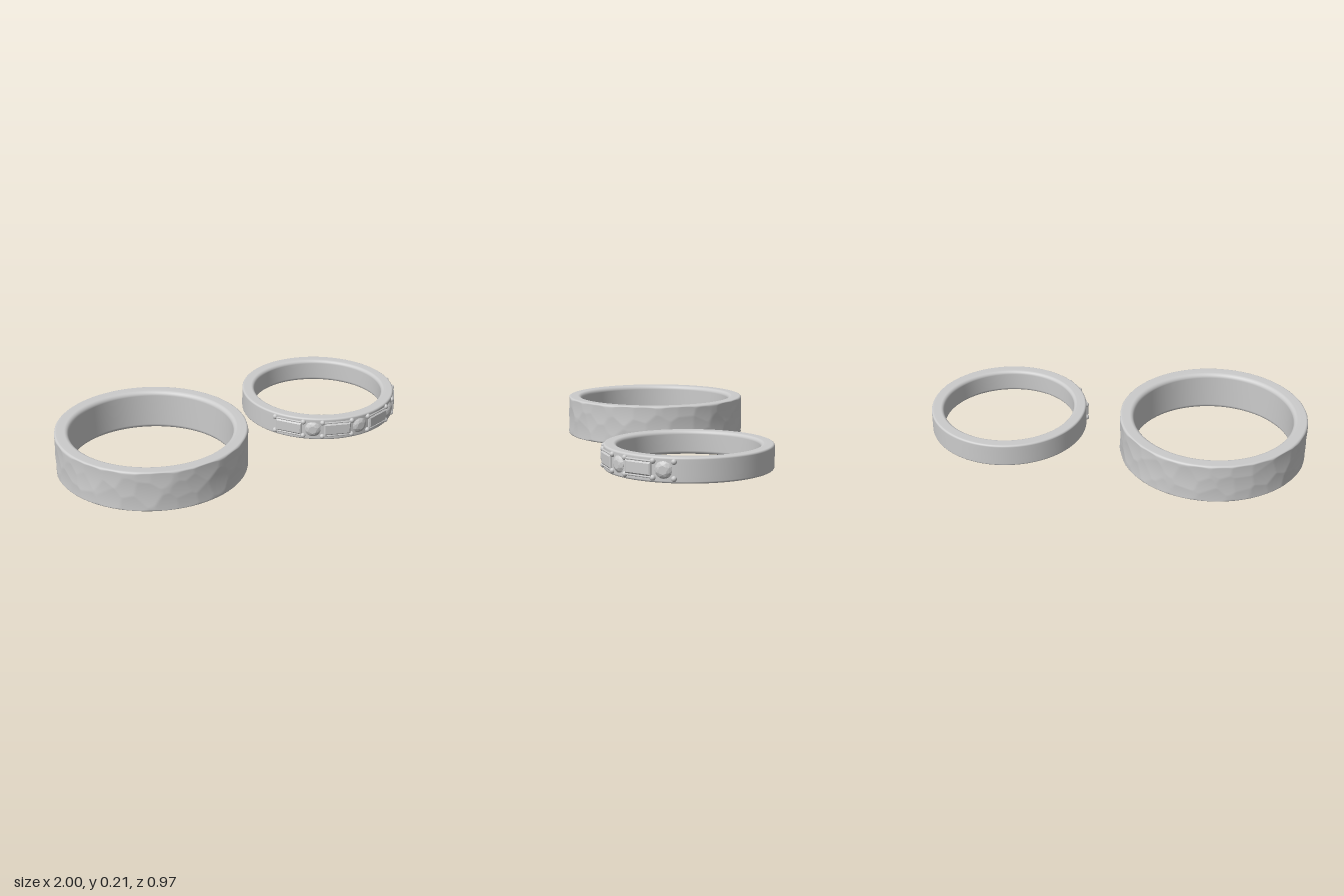
import * as THREE from 'three';
import { mergeVertices } from 'three/addons/utils/BufferGeometryUtils.js';
import { ConvexGeometry } from 'three/addons/geometries/ConvexGeometry.js';

const material = new THREE.MeshStandardMaterial({ color: 0xcccccc, roughness: 0.5 });
const deg = THREE.MathUtils.degToRad;

function seeded(seed) {
  return () => {
    seed = (seed * 16807) % 2147483647;
    return seed / 2147483647;
  };
}

function addMesh(parent, name, geometry) {
  const mesh = new THREE.Mesh(geometry, material);
  mesh.name = name;
  parent.add(mesh);
  return mesh;
}

// Closed rounded-rectangle section, swept around y
function bandGeometry(inner, outer, height, outerFillet, innerFillet, rows, segments) {
  const points = [];
  for (let i = 0; i <= rows; i++) {
    points.push(new THREE.Vector2(outer, THREE.MathUtils.lerp(outerFillet, height - outerFillet, i / rows)));
  }
  const corner = (x, y, radius, start) => {
    for (let i = 0; i <= 6; i++) {
      const a = start + (i / 6) * Math.PI / 2;
      points.push(new THREE.Vector2(x + radius * Math.cos(a), y + radius * Math.sin(a)));
    }
  };
  corner(outer - outerFillet, height - outerFillet, outerFillet, 0);
  corner(inner + innerFillet, height - innerFillet, innerFillet, Math.PI / 2);
  corner(inner + innerFillet, innerFillet, innerFillet, Math.PI);
  corner(outer - outerFillet, outerFillet, outerFillet, Math.PI * 1.5);
  return weld(new THREE.LatheGeometry(points, segments));
}

function weld(geometry) {
  geometry.deleteAttribute('uv');
  geometry.deleteAttribute('normal');
  const welded = mergeVertices(geometry, 1e-5);
  welded.computeVertexNormals();
  return welded;
}

// Shallow overlapping hammer strikes pressed into the outer wall
function hammer(geometry, radius, height) {
  const random = seeded(4721);
  const strikes = [];
  const columns = 25, rows = 3;
  for (let c = 0; c < columns; c++) {
    for (let r = 0; r < rows; r++) {
      strikes.push({
        angle: ((c + (r % 2) * 0.5 + (random() - 0.5) * 0.8) / columns) * Math.PI * 2,
        y: ((r + 0.5 + (random() - 0.5) * 0.7) / rows) * height,
        depth: 0.002 + random() * 0.003,
      });
    }
  }
  const p = geometry.attributes.position;
  for (let i = 0; i < p.count; i++) {
    const x = p.getX(i), y = p.getY(i), z = p.getZ(i);
    const r = Math.hypot(x, z);
    if (r < radius - 0.02) continue;
    const angle = Math.atan2(x, z);
    let limit = r;
    for (const s of strikes) {
      const d = angle - s.angle;
      const arc = Math.atan2(Math.sin(d), Math.cos(d)) * radius;
      limit = Math.min(limit, radius - s.depth + 0.8 * (arc * arc + (y - s.y) ** 2));
    }
    p.setXYZ(i, x * limit / r, y, z * limit / r);
  }
  geometry.computeVertexNormals();
  return geometry;
}

// Brilliant-cut stone facing +z
function roundStoneGeometry(radius) {
  const points = [new THREE.Vector3(0, 0, -0.03)];
  const ring = (count, r, z, offset) => {
    for (let i = 0; i < count; i++) {
      const a = ((i + offset) / count) * Math.PI * 2;
      points.push(new THREE.Vector3(r * Math.cos(a), r * Math.sin(a), z));
    }
  };
  ring(8, radius * 0.5, 0.013, 0);
  ring(8, radius * 0.76, 0.0085, 0.5);
  ring(16, radius, 0, 0);
  ring(16, radius, -0.003, 0);
  return new ConvexGeometry(points);
}

// Long step-cut stone facing +z
function barStoneGeometry(width, height) {
  const points = [];
  for (const [inset, z] of [[0, -0.03], [0, 0], [0.007, 0.006]]) {
    for (const sx of [-1, 1]) {
      for (const sy of [-1, 1]) {
        points.push(new THREE.Vector3(sx * (width / 2 - inset), sy * (height / 2 - inset), z));
      }
    }
  }
  return new ConvexGeometry(points);
}

export function createModel() {
  const model = new THREE.Group();
  model.name = 'ringPair';

  // Wide hammered ring
  const wide = addMesh(model, 'hammeredBand',
    hammer(bandGeometry(0.41, 0.484, 0.21, 0.012, 0.022, 36, 400), 0.484, 0.21));
  wide.position.set(-0.518, 0, 0);

  // Narrow ring with stones along the front
  const narrow = new THREE.Group();
  narrow.name = 'stoneRing';
  narrow.position.set(0.582, 0.003, 0.052);
  model.add(narrow);
  addMesh(narrow, 'narrowBand', bandGeometry(0.346, 0.412, 0.121, 0.01, 0.018, 4, 160));

  const place = (mesh, degrees, radius, y) => {
    const a = deg(degrees);
    mesh.position.set(Math.sin(a) * radius, y, Math.cos(a) * radius);
    mesh.rotation.y = a;
  };
  const middle = 0.061;

  const roundStone = roundStoneGeometry(0.042);
  const barStone = barStoneGeometry(0.145, 0.064);
  const rail = new THREE.CapsuleGeometry(0.005, 0.135, 4, 8).rotateZ(Math.PI / 2);
  const bead = new THREE.SphereGeometry(0.0135, 16, 12);
  const stem = new THREE.CylinderGeometry(0.01, 0.01, 0.03, 12).rotateX(Math.PI / 2);

  const prongPair = (degrees) => {
    for (const side of [-1, 1]) {
      place(addMesh(narrow, 'prongBead', bead), degrees, 0.413, middle + side * 0.039);
      place(addMesh(narrow, 'prongStem', stem), degrees, 0.396, middle + side * 0.039);
    }
  };

  // Round and bar stones alternate every 18 degrees
  for (let i = 0; i < 4; i++) {
    const angle = -47 + i * 36;
    place(addMesh(narrow, 'roundStone', roundStone), angle, 0.411, middle);
    prongPair(angle - 7);
    prongPair(angle + 7);

    place(addMesh(narrow, 'barStone', barStone), angle - 18, 0.413, middle);
    for (const side of [-1, 1]) {
      place(addMesh(narrow, 'barRail', rail), angle - 18, 0.411, middle + side * 0.037);
    }
  }
  prongPair(-76);

  return model;
}
